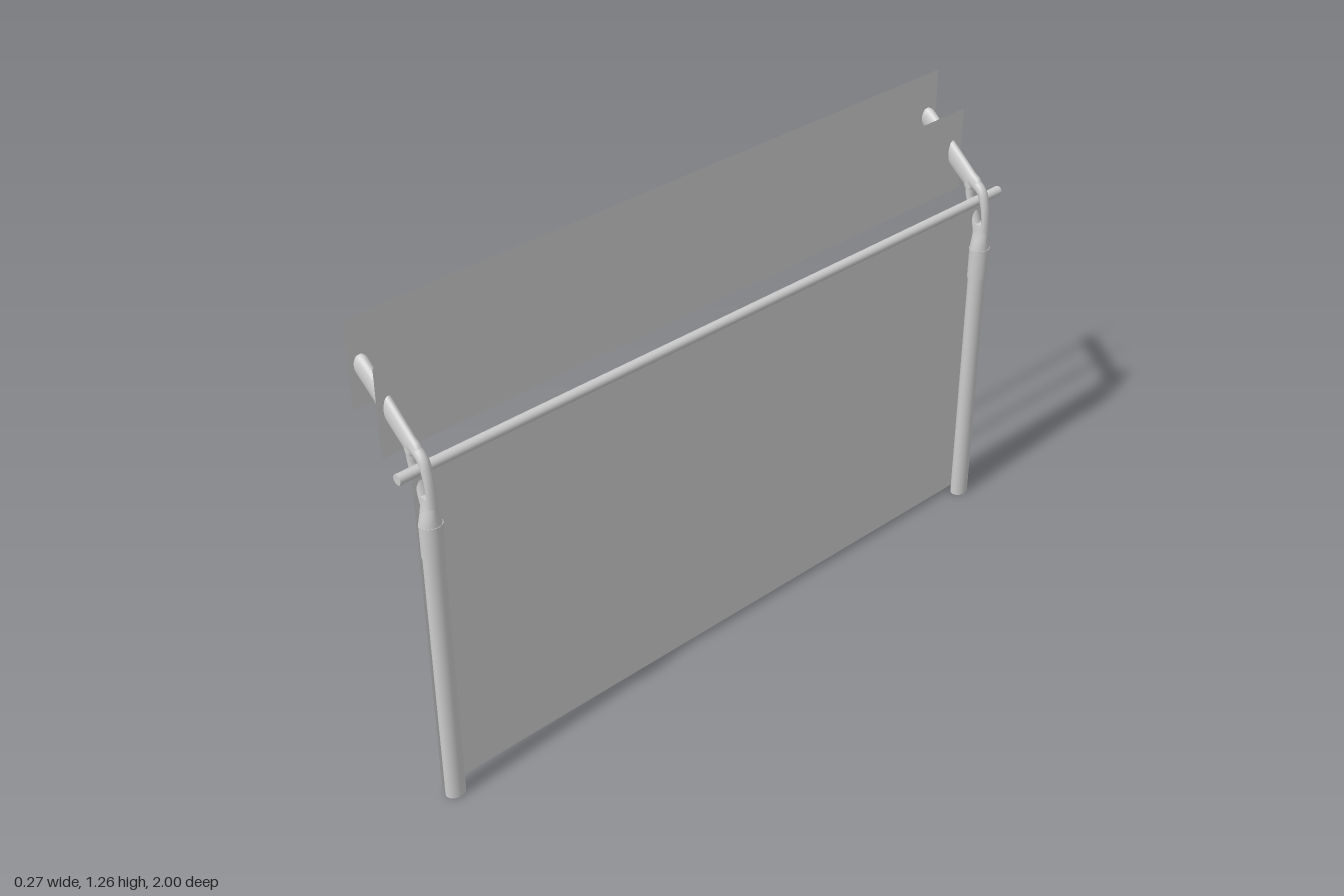
import * as THREE from 'three';

const material = new THREE.MeshStandardMaterial({ color: 0xcccccc });
const sheetMaterial = new THREE.MeshStandardMaterial({ color: 0xcccccc, side: THREE.DoubleSide });

// Capped elliptical tube along stations [x, y, half width in plane, half depth along z]
function loft(stations, sides = 24) {
  const positions = [], index = [];
  const rings = stations.map(([x, y, a, b], i) => {
    const p = stations[Math.max(i - 1, 0)], q = stations[Math.min(i + 1, stations.length - 1)];
    const len = Math.hypot(q[0] - p[0], q[1] - p[1]);
    const nx = (q[1] - p[1]) / len, ny = -(q[0] - p[0]) / len;
    return Array.from({ length: sides }, (_, j) => {
      const t = (j / sides) * Math.PI * 2, c = a * Math.cos(t);
      return [x + nx * c, y + ny * c, -b * Math.sin(t)];
    });
  });
  rings.forEach((ring) => ring.forEach((v) => positions.push(...v)));
  for (let i = 0; i < rings.length - 1; i++) {
    for (let j = 0; j < sides; j++) {
      const k = (j + 1) % sides, a = i * sides, b = a + sides;
      index.push(a + j, a + k, b + k, a + j, b + k, b + j);
    }
  }
  // End caps with their own vertices, so their rims stay sharp
  [0, rings.length - 1].forEach((r) => {
    const base = positions.length / 3;
    rings[r].forEach((v) => positions.push(...v));
    positions.push(stations[r][0], stations[r][1], 0);
    for (let j = 0; j < sides; j++) {
      const k = (j + 1) % sides;
      if (r === 0) index.push(base + sides, base + k, base + j);
      else index.push(base + sides, base + j, base + k);
    }
  });
  const geometry = new THREE.BufferGeometry();
  geometry.setAttribute('position', new THREE.Float32BufferAttribute(positions, 3));
  geometry.setIndex(index);
  geometry.computeVertexNormals();
  return geometry;
}

// Smooths a few stations into a denser run
function smooth(stations, steps = 5) {
  const at = new THREE.CatmullRomCurve3(stations.map((s) => new THREE.Vector3(s[0], s[1], 0)));
  const size = new THREE.CatmullRomCurve3(stations.map((s) => new THREE.Vector3(s[2], s[3], 0)));
  const n = (stations.length - 1) * steps;
  return Array.from({ length: n + 1 }, (_, i) => {
    const p = at.getPoint(i / n), s = size.getPoint(i / n);
    return [p.x, p.y, s.x, s.y];
  });
}

const postParts = {
  post: loft([[0.098, 0, 0.022, 0.027], [0.098, 0.74, 0.022, 0.027]]),
  collar: loft([[0.099, 0.73, 0.026, 0.029], [0.099, 0.805, 0.026, 0.029], [0.099, 0.82, 0.027, 0.029]]),
  // Neck flattens from the round collar to the thin bracket
  neck: loft([
    [0.099, 0.805, 0.026, 0.029], [0.099, 0.83, 0.025, 0.027], [0.099, 0.85, 0.024, 0.021],
    [0.099, 0.87, 0.024, 0.017], [0.098, 0.893, 0.024, 0.015],
  ]),
  // Two branches leave a slot for the rail
  outerBranch: loft(smooth([
    [0.112, 0.87, 0.011, 0.015], [0.112, 0.91, 0.009, 0.014], [0.104, 0.955, 0.011, 0.014],
    [0.09, 0.988, 0.014, 0.014], [0.055, 1.01, 0.02, 0.014],
  ]), 16),
  innerBranch: loft(smooth([
    [0.087, 0.872, 0.011, 0.015], [0.071, 0.92, 0.008, 0.014], [0.054, 0.958, 0.010, 0.014],
    [0.05, 0.985, 0.012, 0.014], [0.045, 1.01, 0.012, 0.014],
  ]), 16),
  arm: loft([
    [0.082, 0.998, 0.012, 0.012], [0.07, 1.004, 0.021, 0.013], [0.047, 1.01, 0.027, 0.014],
    [0.02, 1.031, 0.028, 0.014], [-0.08, 1.109, 0.028, 0.016], [-0.112, 1.134, 0.028, 0.018],
    [-0.122, 1.142, 0.026, 0.017], [-0.129, 1.147, 0.02, 0.013],
  ]),
};

function makePost(z, name) {
  const group = new THREE.Group();
  group.name = name;
  group.position.z = z;
  for (const [part, geometry] of Object.entries(postParts)) {
    const mesh = new THREE.Mesh(geometry, material);
    mesh.name = part;
    group.add(mesh);
  }
  return group;
}

// Thin upright sheet facing sideways
function makePanel(name, x, y0, y1, z0, z1) {
  const mesh = new THREE.Mesh(new THREE.PlaneGeometry(z1 - z0, y1 - y0), sheetMaterial);
  mesh.name = name;
  mesh.rotation.y = Math.PI / 2;
  mesh.position.set(x, (y0 + y1) / 2, (z0 + z1) / 2);
  return mesh;
}

export function createModel() {
  const model = new THREE.Group();
  model.name = 'railing';

  model.add(makePost(0.938, 'frontPost'), makePost(-0.913, 'backPost'));

  // Long rail through both slots
  const rail = new THREE.Mesh(new THREE.CylinderGeometry(0.0135, 0.0135, 2, 20), material);
  rail.name = 'rail';
  rail.rotation.x = Math.PI / 2;
  rail.position.set(0.077, 0.955, 0);
  model.add(rail);

  // Main sheet below the rail and two sheets across the arms
  model.add(
    makePanel('mainPanel', 0.077, 0.015, 0.953, -0.945, 0.962),
    makePanel('lowerArmPanel', -0.022, 0.945, 1.182, -0.95, 0.97),
    makePanel('upperArmPanel', -0.121, 1.025, 1.262, -0.95, 0.97),
  );
  return model;
}
